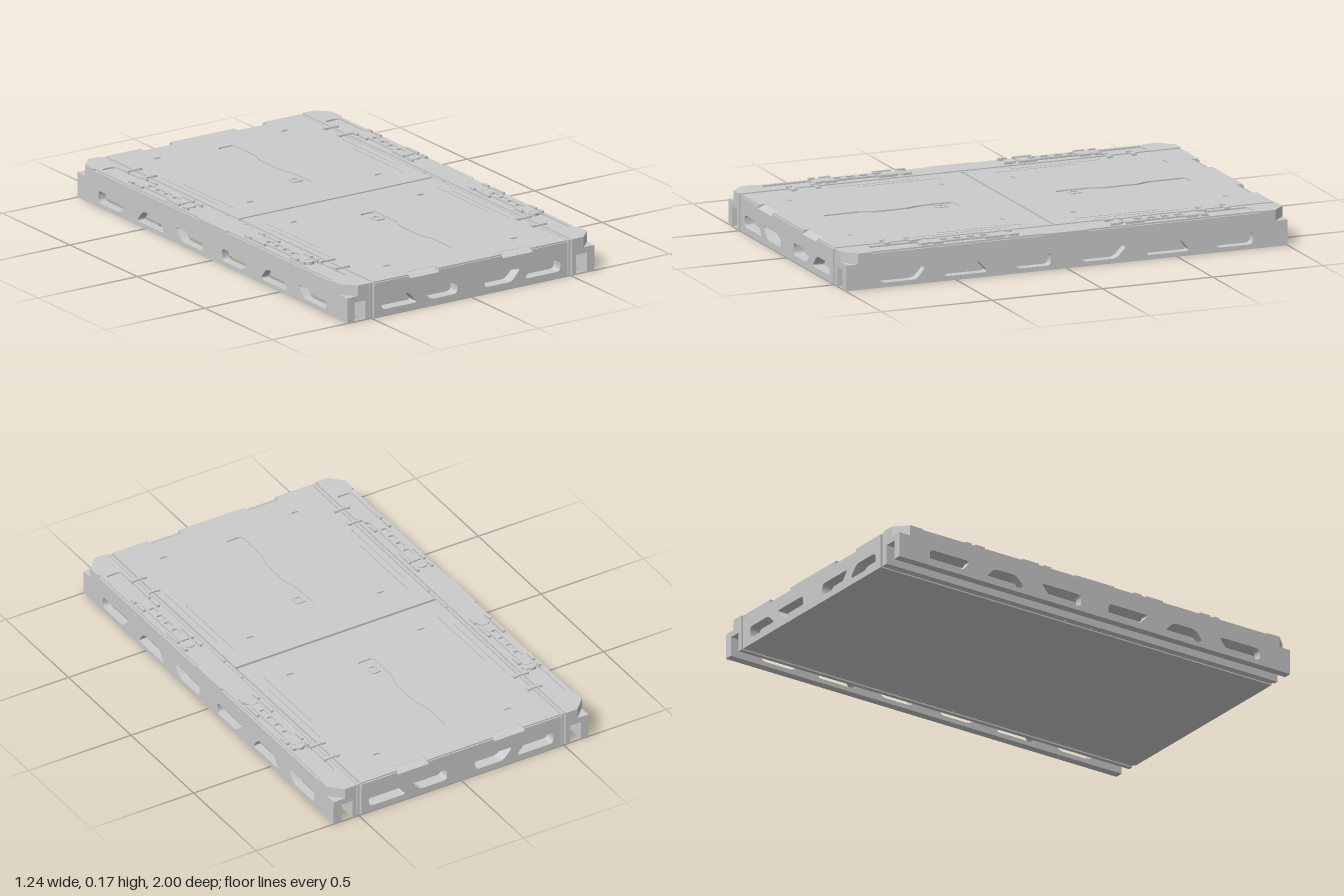
import * as THREE from 'three';

const material = new THREE.MeshStandardMaterial({ color: 0xcccccc, flatShading: true });

function add(parent, name, geometry) {
  const mesh = new THREE.Mesh(geometry, material);
  mesh.name = name;
  parent.add(mesh);
  return mesh;
}

// Box given by its limits on each axis
function box(parent, name, [x0, x1], [y0, y1], [z0, z1]) {
  const g = new THREE.BoxGeometry(x1 - x0, y1 - y0, z1 - z0);
  g.translate((x0 + x1) / 2, (y0 + y1) / 2, (z0 + z1) / 2);
  return add(parent, name, g);
}

// Polygon with rounded corners
function rounded(points, r) {
  const s = new THREE.Shape();
  const v = points.map(p => new THREE.Vector2(...p));
  v.forEach((p, i) => {
    const a = v[(i + v.length - 1) % v.length], b = v[(i + 1) % v.length];
    const toward = q => q.clone().sub(p).setLength(Math.min(r, q.distanceTo(p) * 0.45)).add(p);
    const start = toward(a), end = toward(b);
    if (i) s.lineTo(start.x, start.y); else s.moveTo(start.x, start.y);
    s.quadraticCurveTo(p.x, p.y, end.x, end.y);
  });
  s.closePath();
  return s;
}

const rect = (x0, x1, y0, y1) => [[x0, y0], [x1, y0], [x1, y1], [x0, y1]];
const polygon = points => new THREE.Shape(points.map(p => new THREE.Vector2(...p)));
const flip = points => points.map(([a, b]) => [-a, b]);
const extrude = (shape, depth) =>
  new THREE.ExtrudeGeometry(shape, { depth, bevelEnabled: false, curveSegments: 4 });

// Horizontal plate: the outline is in (x, z)
function plate(parent, name, outline, y0, y1, holes = []) {
  outline.holes.push(...holes);
  return add(parent, name, extrude(outline, y1 - y0).rotateX(Math.PI / 2).translate(0, y1, 0));
}

// One end of the tray with pockets, and one lid half
function endHalf() {
  const g = new THREE.Group();
  const wall = polygon(rect(-0.487, 0.487, 0, 0.135));
  const pockets = [
    [[-0.45, 0.028], [-0.268, 0.028], [-0.315, 0.08], [-0.45, 0.08]],
    [[-0.205, 0.028], [-0.068, 0.028], [-0.068, 0.08], [-0.252, 0.08]],
  ];
  wall.holes = pockets.flatMap(p => [rounded(p, 0.02), rounded(flip(p), 0.02)]);
  add(g, 'endWall', extrude(wall, 0.05).translate(0, 0, 0.95));

  // Lid edge with two notches
  const outline = inset => polygon([
    [-0.485, 0.006], [0.485, 0.006], [0.485, 1 - inset], [0.31, 1 - inset], [0.31, 0.965], [0.16, 0.965], [0.16, 1 - inset],
    [-0.16, 1 - inset], [-0.16, 0.965], [-0.31, 0.965], [-0.31, 1 - inset], [-0.485, 1 - inset],
  ]);
  plate(g, 'lidBase', outline(0), 0.135, 0.15);

  // Shallow grip recess and slots sunk in the lid
  const grip = rounded([
    [-0.04, 0.23], [0.04, 0.23], [0.04, 0.39], [0.02, 0.44], [0.02, 0.6], [0.04, 0.65],
    [0.04, 0.82], [-0.04, 0.82], [-0.04, 0.65], [-0.02, 0.6], [-0.02, 0.44], [-0.04, 0.39],
  ], 0.02);
  const slots = [];
  for (const s of [-1, 1]) {
    for (const z of [0.16, 0.85]) slots.push(rounded(rect(s * 0.32 - 0.018, s * 0.32 + 0.018, z - 0.008, z + 0.008), 0.007));
    slots.push(polygon(rect(s * 0.425 - 0.003, s * 0.425 + 0.003, 0.12, 0.5)));
    slots.push(polygon(rect(s * 0.455 - 0.003, s * 0.455 + 0.003, 0.2, 0.62)));
  }
  plate(g, 'lidPanel', outline(0.006), 0.15, 0.156, [grip, ...slots]);
  plate(g, 'gripLatch', rounded(rect(-0.024, 0.024, 0.275, 0.33), 0.012), 0.15, 0.155,
    [rounded(rect(-0.013, 0.013, 0.285, 0.315), 0.005)]);

  // Sloped lips that fill the notches
  for (const x of [-0.31, 0.16]) {
    const wedge = polygon([[0.965, 0.135], [1, 0.135], [1, 0.139], [0.965, 0.155]]);
    add(g, 'lidLip', extrude(wedge, 0.15).rotateY(-Math.PI / 2).translate(x + 0.15, 0, 0));
  }
  return g;
}

// Raised latch on a side rail, at +z or -z
function latch(parent, s) {
  const span = (a, b) => s > 0 ? [a, b] : [-b, -a];
  const slots = [0.33, 0.39, 0.45, 0.51].map(z =>
    rounded(rect(0.552, 0.578, ...span(z, z + 0.04)), 0.006));
  plate(parent, 'latchPlate', rounded(rect(0.542, 0.588, ...span(0.28, 0.62)), 0.01), 0.156, 0.165, slots);
  for (const x of [0.53, 0.6]) {
    for (const [a, b] of [[0.21, 0.25], [0.275, 0.36], [0.55, 0.6], [0.62, 0.65]]) {
      box(parent, 'latchProng', [x - 0.006, x + 0.006], [0.15, 0.168], span(a, b));
    }
  }
  for (const z of [0.25, 0.625]) {
    const knob = new THREE.CylinderGeometry(0.026, 0.026, 0.012, 16);
    add(parent, 'latchKnob', knob.translate(0.565, 0.157, s * z));
    box(parent, 'latchBar', [0.53, 0.6], [0.15, 0.161], span(z - 0.007, z + 0.007));
  }
  // Hinge straps from rail to lid
  for (const z of [0.66, 0.77]) {
    box(parent, 'hingeStrap', [0.462, 0.53], [0.156, 0.162], span(z - 0.006, z + 0.006));
    for (const x of [0.468, 0.522]) box(parent, 'hingeFoot', [x - 0.009, x + 0.009], [0.15, 0.165], span(z - 0.011, z + 0.011));
  }
}

// Side rail: an upside-down channel with a pierced outer wall
function sideRail() {
  const g = new THREE.Group();
  const wall = polygon(rect(-1, 1, 0, 0.11));
  const windows = [
    [[0.68, 0.02], [0.845, 0.02], [0.845, 0.073], [0.635, 0.073]],
    [[0.355, 0.02], [0.56, 0.02], [0.515, 0.073], [0.4, 0.073]],
    [[0.07, 0.02], [0.225, 0.02], [0.275, 0.073], [0.07, 0.073]],
  ];
  wall.holes = windows.flatMap(p => [rounded(p, 0.022), rounded(flip(p), 0.022)]);
  add(g, 'railOuterWall', extrude(wall, 0.037).rotateY(-Math.PI / 2).translate(0.622, 0, 0));
  box(g, 'railInnerWall', [0.51, 0.53], [0, 0.11], [-1, 1]);
  box(g, 'railWeb', [0.51, 0.6], [0.085, 0.111], [-1, 1]);

  const top = polygon([[0.51, -1], [0.567, -1], [0.622, -0.945], [0.622, 0.945], [0.567, 1], [0.51, 1]]);
  plate(g, 'railTop', top, 0.11, 0.15);
  const cap = polygon([
    [0.51, -1], [0.567, -1], [0.622, -0.945], [0.622, -0.88], [0.614, -0.88], [0.614, -0.1], [0.622, -0.1],
    [0.622, 0.1], [0.614, 0.1], [0.614, 0.88], [0.622, 0.88], [0.622, 0.945], [0.567, 1], [0.51, 1],
  ]);
  const wells = [-1, 1].map(s => rounded(rect(0.527, 0.598, s * 0.75 - 0.11, s * 0.75 + 0.11), 0.018));
  plate(g, 'railCap', cap, 0.15, 0.157, wells);
  latch(g, 1);
  latch(g, -1);

  // Hinge strip between tray and rail, in three lengths
  box(g, 'hingeCore', [0.48, 0.515], [0.006, 0.138], [-0.985, 0.985]);
  for (const [a, b] of [[-0.996, -0.073], [-0.067, 0.067], [0.073, 0.996]]) {
    box(g, 'hingeStrip', [0.493, 0.504], [0.003, 0.154], [a, b]);
  }
  return g;
}

export function createModel() {
  const model = new THREE.Group();
  model.name = 'cargoPlatform';
  box(model, 'trayCore', [-0.487, 0.487], [0, 0.136], [-0.95, 0.95]);
  for (const angle of [0, Math.PI]) {
    const end = endHalf();
    end.name = angle ? 'backHalf' : 'frontHalf';
    const rail = sideRail();
    rail.name = angle ? 'rightRail' : 'leftRail';
    end.rotation.y = rail.rotation.y = angle;
    model.add(end, rail);
  }
  return model;
}
